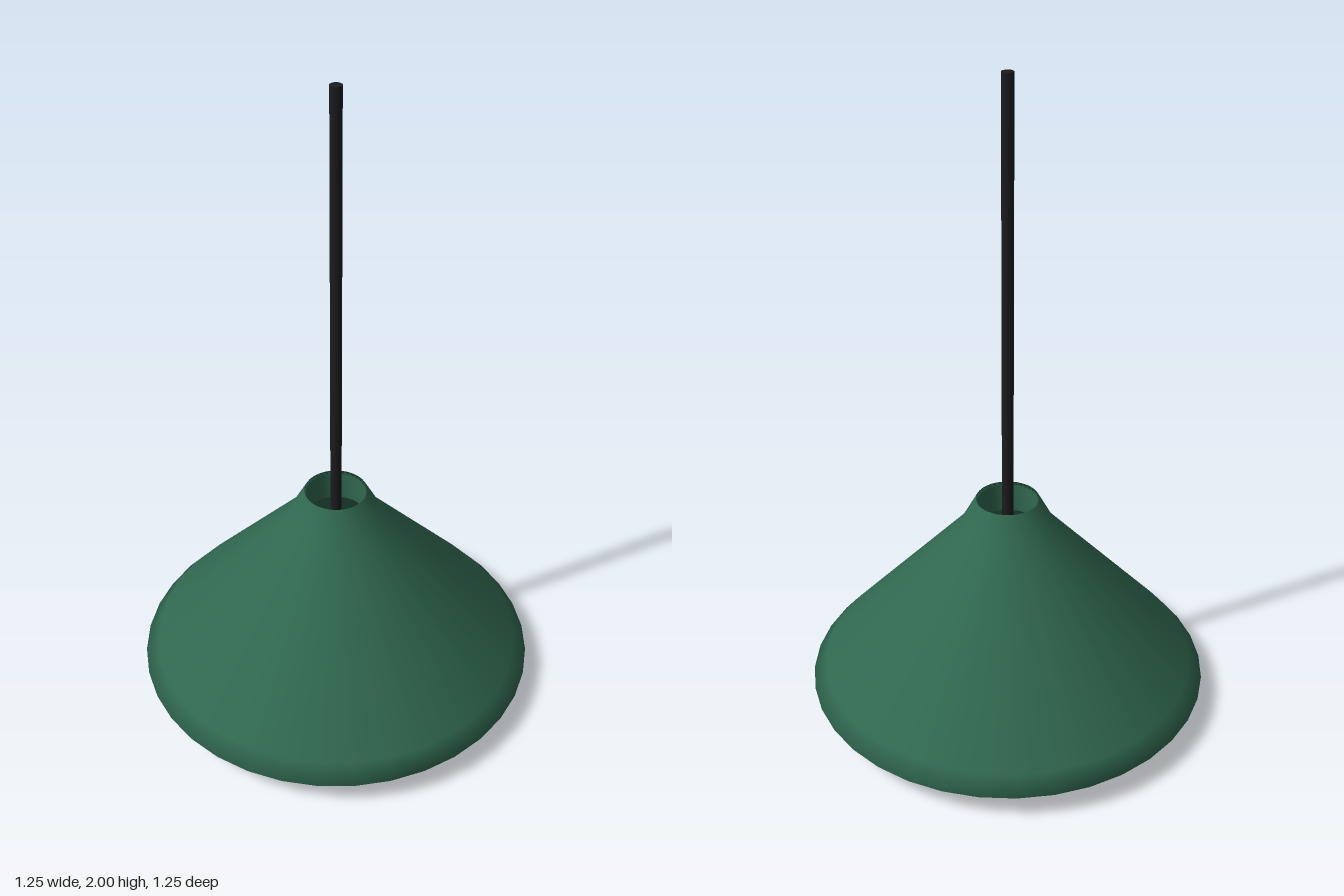
import * as THREE from 'three';

const SIDES = 36;

function material(name, color, side = THREE.FrontSide) {
  const m = new THREE.MeshStandardMaterial({ color, side });
  m.name = name;
  return m;
}

export function createModel() {
  const group = new THREE.Group();
  group.name = 'pendantLamp';

  const green = material('green enamel', 0x30674f, THREE.DoubleSide);
  const cream = material('cream lining', 0xb3a484, THREE.DoubleSide);
  const amber = material('amber glass', 0xc39c5c, THREE.DoubleSide);
  const black = material('black cord', 0x1c1c1e);

  const add = (name, geometry, mat, y = 0) => {
    const mesh = new THREE.Mesh(geometry, mat);
    mesh.name = name;
    mesh.position.y = y;
    group.add(mesh);
    return mesh;
  };

  // Shade: rolled rim, straight cone, steeper neck and an open top turned inward
  const profile = [
    [0.578, 0.088], [0.623, 0.079], [0.58, 0.13], [0.148, 0.605], [0.097, 0.7], [0.092, 0.69], [0.092, 0.6],
  ].map(([r, y]) => new THREE.Vector2(r, y));
  add('shade', new THREE.LatheGeometry(profile, SIDES), green);

  // Lining closing the underside of the shade
  const lining = new THREE.CircleGeometry(0.58, SIDES).rotateX(Math.PI / 2);
  add('lining', lining, cream, 0.088);

  // Lower part of the bulb showing below the lining
  const radius = 0.18;
  const start = Math.PI * 0.66;
  add('bulb', new THREE.SphereGeometry(radius, 16, 3, 0, Math.PI * 2, start, Math.PI - start), amber, radius);

  // Hanging cord
  const cordBottom = 0.1;
  const cordLength = 2 - cordBottom;
  add('cord', new THREE.CylinderGeometry(0.018, 0.018, cordLength, 10), black, cordBottom + cordLength / 2);

  return group;
}
